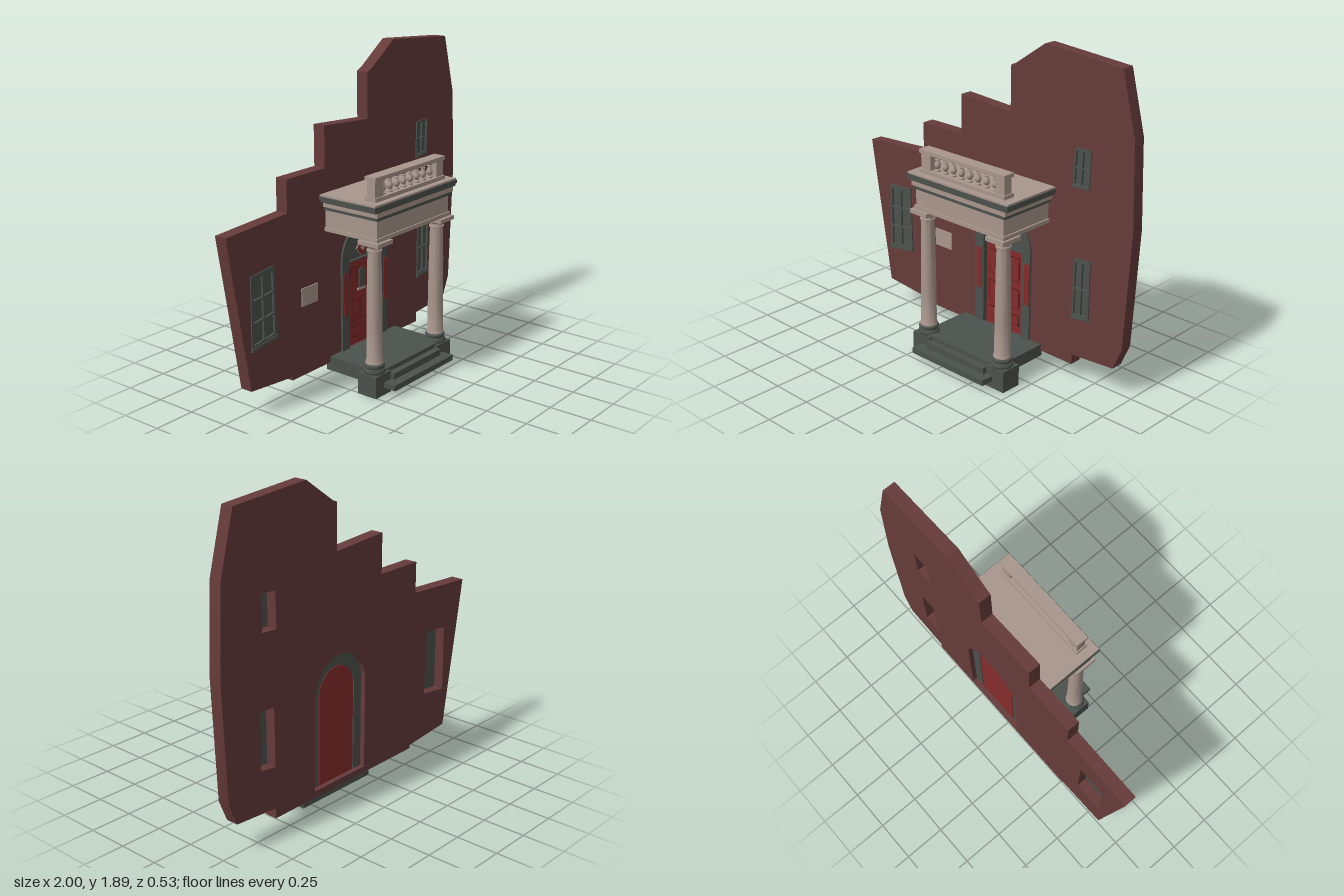
import * as THREE from 'three';
import { toCreasedNormals } from 'three/addons/utils/BufferGeometryUtils.js';

const material = (name, color) => {
  const m = new THREE.MeshStandardMaterial({ color });
  m.name = name;
  return m;
};

export function createModel() {
  const model = new THREE.Group();
  model.name = 'porticoFacade';
  const brick = material('brick', 0x653b3a);
  const stone = material('stone', 0xa8968c);
  const slate = material('slate', 0x4b514c);
  const red = material('red', 0x842a2a);
  const darkRed = material('darkRed', 0x4a1a1a);

  const add = (name, geometry, mat, parent = model) => {
    const mesh = new THREE.Mesh(geometry, mat);
    mesh.name = name;
    parent.add(mesh);
    return mesh;
  };
  // Box given by its limits on each axis
  const box = (name, mat, x0, x1, y0, y1, z0, z1, parent) => {
    const mesh = add(name, new THREE.BoxGeometry(x1 - x0, y1 - y0, z1 - z0), mat, parent);
    mesh.position.set((x0 + x1) / 2, (y0 + y1) / 2, (z0 + z1) / 2);
    return mesh;
  };
  const points = (list) => list.map(([x, y]) => new THREE.Vector2(x, y));
  const polygon = (list) => new THREE.Shape(points(list));
  // Shape pushed out from z0 to z1
  const slab = (name, mat, shape, z0, z1, parent) => {
    const g = new THREE.ExtrudeGeometry(shape, { depth: z1 - z0, bevelEnabled: false, curveSegments: 20 });
    g.translate(0, 0, z0);
    return add(name, toCreasedNormals(g, 0.6), mat, parent);
  };
  const arch = (cx, r, bottom, spring) => {
    const s = new THREE.Shape();
    s.moveTo(cx - r, bottom);
    s.lineTo(cx + r, bottom);
    s.lineTo(cx + r, spring);
    s.absarc(cx, spring, r, 0, Math.PI, false);
    s.closePath();
    return s;
  };
  const lathe = (name, mat, profile, parent, sides = 28) =>
    add(name, toCreasedNormals(new THREE.LatheGeometry(points(profile), sides), 0.6), mat, parent);

  // Wall with stepped outline and openings
  const doorX = 0.107;
  const wall = polygon([
    [-1, 1.05], [-0.85, 0.155], [-0.525, 0.125], [-0.525, 0.105], [0.625, 0.1], [0.625, 0.16],
    [0.91, 0.18], [0.965, 0.31], [1, 1], [0.98, 1.5], [0.89, 1.85], [0.38, 1.89], [0.18, 1.75],
    [0.145, 1.735], [0.145, 1.47], [-0.23, 1.495], [-0.23, 1.26], [-0.54, 1.26], [-0.54, 1.075],
  ]);
  // Corners run from lower left, counter-clockwise
  const windows = [
    { corners: [[-0.84, 0.385], [-0.645, 0.41], [-0.655, 0.815], [-0.835, 0.8]], rows: 3 },
    { corners: [[0.62, 0.395], [0.735, 0.41], [0.735, 0.755], [0.625, 0.75]], rows: 2 },
    { corners: [[0.6, 1.16], [0.71, 1.165], [0.715, 1.378], [0.607, 1.375]], rows: 2 },
  ];
  // Point inside a four-cornered window, u across and v up
  const inside = ([a, b, c, d], u, v) => [0, 1].map((i) =>
    (a[i] * (1 - u) + b[i] * u) * (1 - v) + (d[i] * (1 - u) + c[i] * u) * v);
  const patch = (q, u0, u1, v0, v1) =>
    [inside(q, u0, v0), inside(q, u1, v0), inside(q, u1, v1), inside(q, u0, v1)];
  wall.holes.push(arch(doorX, 0.208, 0.14, 0.678));
  for (const w of windows) wall.holes.push(polygon(patch(w.corners, 0.03, 0.97, 0.02, 0.98)));
  slab('wall', brick, wall, -0.265, -0.19);

  // Sash windows: pane, frame with one opening per light, and sill
  windows.forEach(({ corners, rows }, i) => {
    const group = new THREE.Group();
    group.name = 'window' + (i + 1);
    model.add(group);
    slab('pane', slate, polygon(corners), -0.205, -0.196, group);
    const frame = polygon(corners);
    for (let r = 0; r < rows; r++) {
      for (let c = 0; c < 2; c++) {
        const u = 0.09 + c * 0.43, v = 0.06 + (r * 0.9) / rows;
        frame.holes.push(polygon(patch(corners, u, u + 0.39, v, v + 0.9 / rows - 0.025)));
      }
    }
    slab('frame', slate, frame, -0.197, -0.183, group);
    slab('sill', slate, polygon(patch(corners, -0.02, 1.02, -0.015, 0.03)), -0.19, -0.176, group);
  });

  // Wall plaque
  box('plaque', stone, -0.44, -0.308, 0.515, 0.62, -0.195, -0.183);

  // Door surround with arched opening
  const surround = arch(doorX, 0.21, 0.135, 0.678);
  surround.holes.push(arch(doorX, 0.147, 0.136, 0.665));
  slab('doorSurround', slate, surround, -0.235, -0.178);
  for (const x of [-0.093, 0.275]) box('sidePanel', red, x, x + 0.038, 0.353, 0.61, -0.18, -0.174);

  // Door leaf, backed by a full arch
  const door = new THREE.Group();
  door.name = 'door';
  model.add(door);
  slab('doorBacking', red, arch(doorX, 0.14, 0.14, 0.668), -0.235, -0.22, door);
  box('doorLeaf', red, -0.033, 0.247, 0.14, 0.655, -0.22, -0.2, door);
  const fanlight = arch(doorX, 0.147, 0.655, 0.668);
  slab('fanlight', slate, fanlight, -0.22, -0.205, door);
  const fanRim = arch(doorX, 0.147, 0.655, 0.668);
  fanRim.holes.push(arch(doorX, 0.132, 0.665, 0.67));
  slab('fanlightRim', slate, fanRim, -0.206, -0.19, door);
  const panels = [
    [-0.013, 0.047, 0.465, 0.615], [0.155, 0.223, 0.465, 0.615],
    [-0.013, 0.052, 0.293, 0.417], [0.077, 0.137, 0.293, 0.417], [0.155, 0.223, 0.293, 0.417],
    [-0.013, 0.223, 0.185, 0.252],
  ];
  for (const [x0, x1, y0, y1] of panels) {
    box('panelGroove', darkRed, x0, x1, y0, y1, -0.201, -0.198, door);
    box('panel', red, x0 + 0.005, x1 - 0.005, y0 + 0.005, y1 - 0.005, -0.201, -0.195, door);
  }
  slab('doorWindow', slate, arch(0.096, 0.026, 0.48, 0.575), -0.201, -0.194, door);
  box('letterPlate', stone, 0.055, 0.125, 0.466, 0.479, -0.201, -0.192, door);
  // Lozenge ornament
  const lozenge = (r) => polygon([[doorX, 0.72 - r], [doorX + r, 0.72], [doorX, 0.72 + r], [doorX - r, 0.72]]);
  slab('lozengeRim', stone, lozenge(0.057), -0.206, -0.2, door);
  slab('lozenge', red, lozenge(0.053), -0.201, -0.197, door);
  slab('lozengeCentre', stone, lozenge(0.022), -0.198, -0.195, door);

  // Steps and landing
  box('bottomStep', slate, -0.185, 0.372, 0.045, 0.078, -0.23, 0.265);
  box('middleStep', slate, -0.125, 0.325, 0.078, 0.115, -0.1, 0.21);
  box('landing', slate, -0.2, 0.4, 0.078, 0.14, -0.19, 0.17);
  box('threshold', slate, -0.1, 0.315, 0.085, 0.14, -0.235, -0.18);

  // Columns on pedestals
  for (const x of [-0.19, 0.388]) {
    const column = new THREE.Group();
    column.name = x < 0 ? 'rightColumn' : 'leftColumn';
    column.position.set(x, 0, 0.123);
    model.add(column);
    box('pedestal', slate, -0.067, 0.067, 0.002, 0.13, -0.064, 0.064, column);
    lathe('columnBase', slate, [
      [0, 0.13], [0.06, 0.13], [0.064, 0.14], [0.06, 0.152], [0.053, 0.156], [0.053, 0.163],
      [0.058, 0.168], [0.058, 0.178], [0.05, 0.187], [0, 0.187],
    ], column);
    lathe('columnShaft', stone, [
      [0.052, 0.187], [0.05, 0.196], [0.046, 0.205], [0.045, 0.4], [0.042, 0.65], [0.038, 0.835],
      [0.043, 0.838], [0.043, 0.848], [0.038, 0.851], [0.038, 0.862], [0.05, 0.872], [0.052, 0.882], [0, 0.882],
    ], column);
    box('abacus', stone, -0.066, 0.066, 0.88, 0.903, -0.064, 0.076, column);
  }

  // Entablature: layers widening upward, each [mat, left, right, bottom, top, front]
  const layers = [
    ['architrave', stone, -0.24, 0.44, 0.903, 0.925, 0.18],
    ['frieze', stone, -0.23, 0.43, 0.925, 1.025, 0.172],
    ['lowerMoulding', slate, -0.24, 0.445, 1.025, 1.045, 0.182],
    ['corniceBand', stone, -0.25, 0.455, 1.045, 1.075, 0.188],
    ['cornice', slate, -0.27, 0.472, 1.075, 1.09, 0.194],
    ['corniceLip', slate, -0.28, 0.48, 1.09, 1.11, 0.198],
    ['roofSlab', stone, -0.275, 0.475, 1.11, 1.12, 0.194],
  ];
  for (const [name, mat, x0, x1, y0, y1, front] of layers) box(name, mat, x0, x1, y0, y1, -0.19, front);

  // Balustrade
  const balustrade = new THREE.Group();
  balustrade.name = 'balustrade';
  model.add(balustrade);
  box('bottomRail', stone, -0.22, 0.418, 1.12, 1.142, 0.08, 0.155, balustrade);
  box('topRail', stone, -0.22, 0.418, 1.234, 1.256, 0.08, 0.155, balustrade);
  box('rightPier', stone, -0.212, -0.14, 1.14, 1.236, 0.09, 0.146, balustrade);
  box('leftPier', stone, 0.347, 0.41, 1.14, 1.236, 0.09, 0.146, balustrade);
  for (let i = 0; i < 8; i++) {
    const baluster = lathe('baluster', stone, [
      [0.018, 1.14], [0.018, 1.15], [0.01, 1.156], [0.019, 1.172], [0.019, 1.182], [0.009, 1.205],
      [0.015, 1.21], [0.01, 1.217], [0.018, 1.225], [0.018, 1.236],
    ], balustrade, 12);
    baluster.position.set(-0.112 + i * 0.0614, 0, 0.118);
  }
  return model;
}
